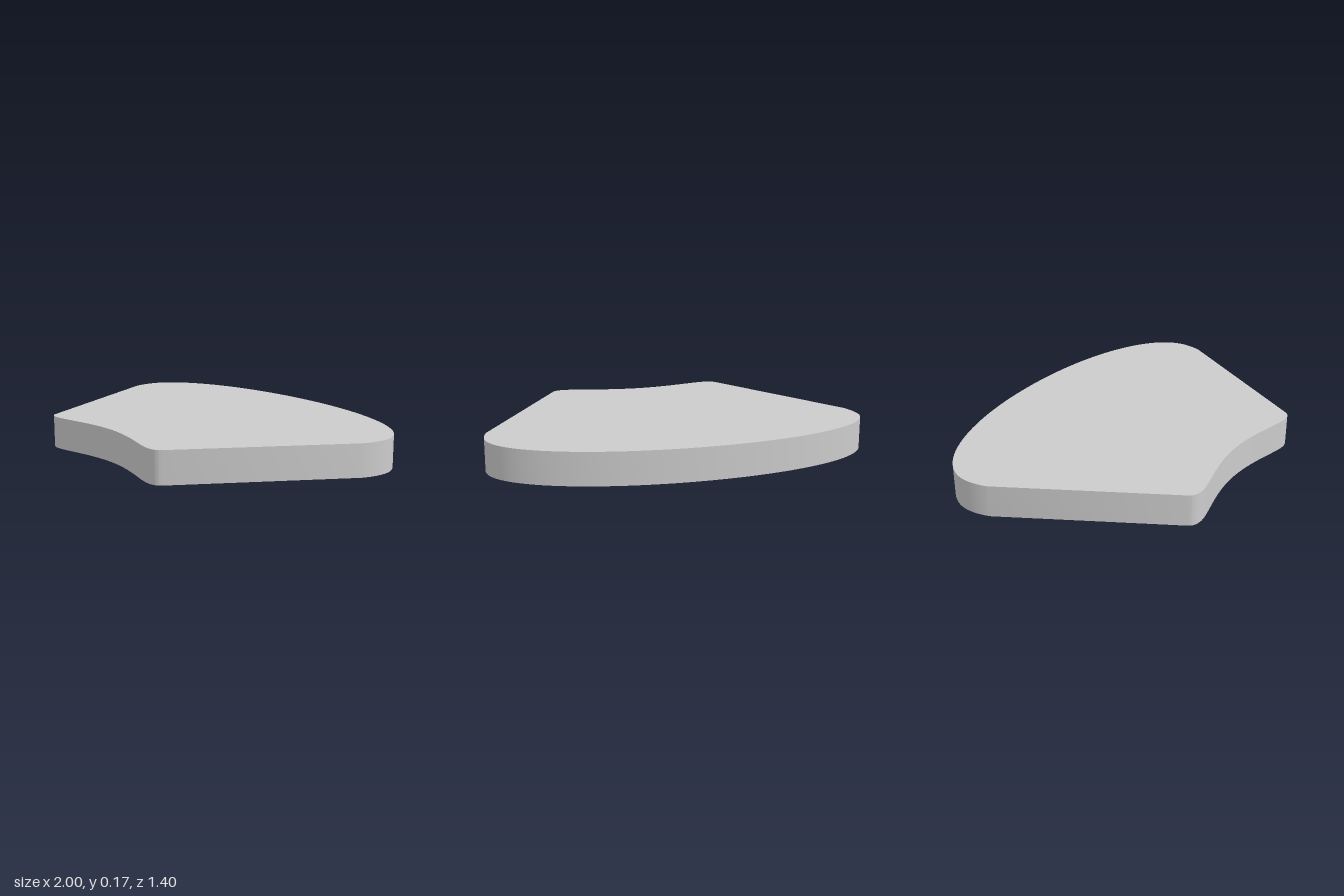
import * as THREE from 'three';
import { toCreasedNormals } from 'three/addons/utils/BufferGeometryUtils.js';

const HEIGHT = 0.17;

export function createModel() {
  const group = new THREE.Group();
  group.name = 'seatPad';

  // Outline seen from above; shape y is -z, so the back edge is at +y
  const outline = new THREE.Shape();
  outline.moveTo(0, -0.63);
  // left half: hollow front edge, rounded corner, tapered side, bowed back
  outline.bezierCurveTo(0.2, -0.63, 0.36, -0.7, 0.44, -0.7);
  outline.quadraticCurveTo(0.49, -0.7, 0.51, -0.67);
  outline.lineTo(0.98, 0.165);
  outline.quadraticCurveTo(1, 0.22, 1, 0.28);
  outline.bezierCurveTo(1, 0.52, 0.56, 0.703, 0, 0.703);
  // right half, mirrored
  outline.bezierCurveTo(-0.56, 0.703, -1, 0.52, -1, 0.28);
  outline.quadraticCurveTo(-1, 0.22, -0.98, 0.165);
  outline.lineTo(-0.51, -0.67);
  outline.quadraticCurveTo(-0.49, -0.7, -0.44, -0.7);
  outline.bezierCurveTo(-0.36, -0.7, -0.2, -0.63, 0, -0.63);

  // Flat slab with crisp top and bottom edges and smooth sides
  const geometry = new THREE.ExtrudeGeometry(outline, {
    depth: HEIGHT, bevelEnabled: false, curveSegments: 28,
  });
  geometry.rotateX(-Math.PI / 2);

  const slab = new THREE.Mesh(
    toCreasedNormals(geometry, 0.22),
    new THREE.MeshStandardMaterial({ color: 0xcccccc })
  );
  slab.name = 'seatSlab';
  group.add(slab);
  return group;
}
